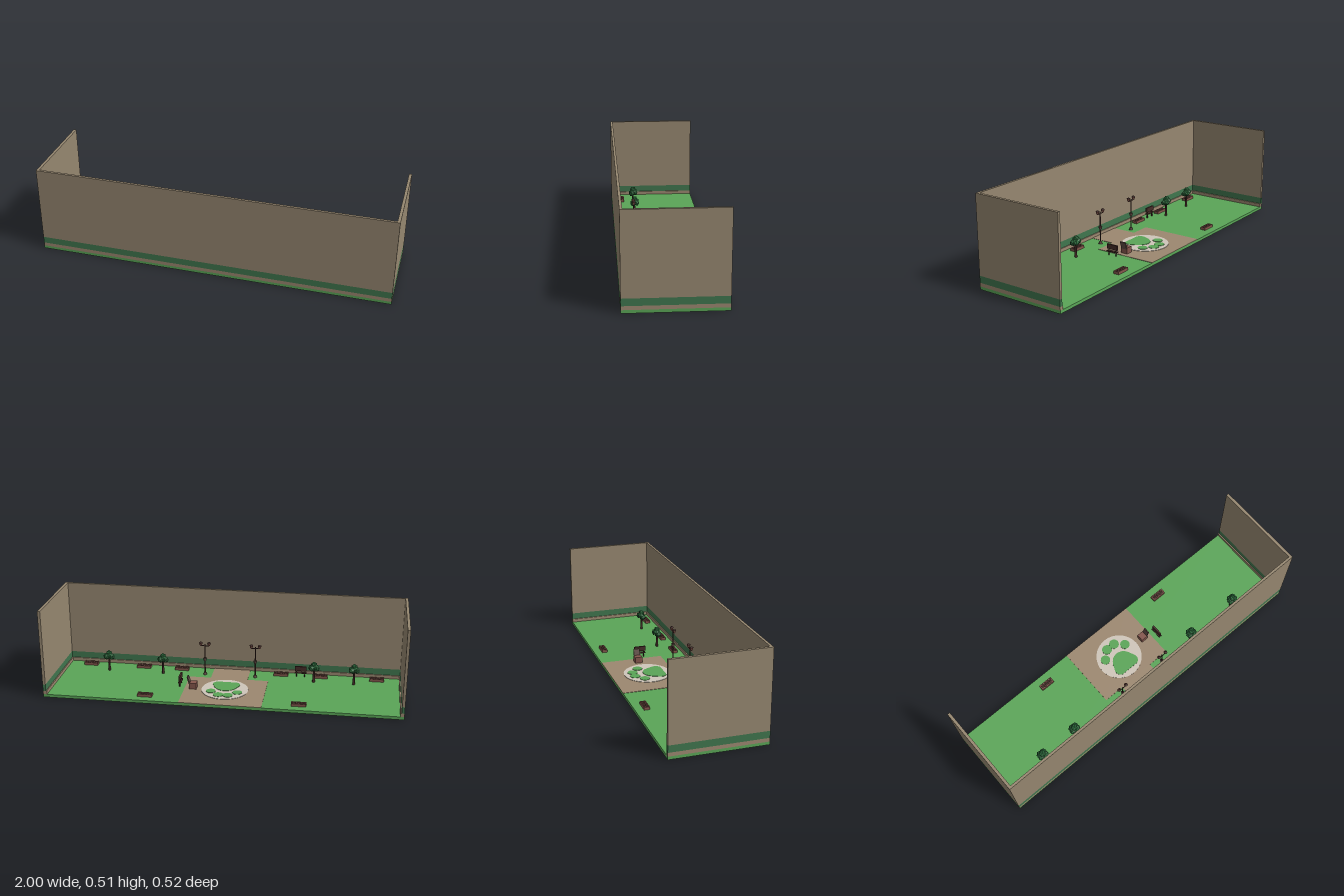
import * as THREE from 'three';

const mat = (name, color, extra = {}) => {
  const m = new THREE.MeshStandardMaterial({ color, ...extra });
  m.name = name;
  return m;
};

export function createModel() {
  const M = {
    grass: mat('grass green', 0x5aa557),
    wall: mat('wall tan', 0x968770),
    path: mat('path tan', 0x9c8870),
    band: mat('band green', 0x40764e),
    stone: mat('pale stone', 0xcfc6ba),
    brick: mat('planter brown', 0x84564c),
    dark: mat('dark wood', 0x462c28),
    leaf: mat('leaf green', 0x2f7040, { flatShading: true }),
    metal: mat('lamp brown', 0x5e4a43),
  };
  const root = new THREE.Group();
  root.name = 'courtyard';
  const FLOOR = 0.017;

  const add = (parent, name, geo, m, x = 0, y = 0, z = 0) => {
    const mesh = new THREE.Mesh(geo, m);
    mesh.name = name;
    mesh.position.set(x, y, z);
    parent.add(mesh);
    return mesh;
  };
  // box given by its footprint centre and bottom
  const box = (p, name, m, w, h, d, x, y, z) =>
    add(p, name, new THREE.BoxGeometry(w, h, d), m, x, y + h / 2, z);
  const cyl = (p, name, m, r1, r2, h, x, y, z, n = 10) =>
    add(p, name, new THREE.CylinderGeometry(r1, r2, h, n), m, x, y + h / 2, z);
  const group = (name, x, z, y = FLOOR) => {
    const g = new THREE.Group();
    g.name = name;
    g.position.set(x, y, z);
    root.add(g);
    return g;
  };

  // Lawn slab
  box(root, 'lawn', M.grass, 2, FLOOR, 0.524, 0, 0, 0);

  // Three walls in stacked colour layers, open at the back
  const layers = [
    ['wallBase', M.path, FLOOR, 0.037, 0.006],
    ['wallBand', M.band, 0.037, 0.075, 0],
    ['wallUpper', M.wall, 0.075, 0.51, 0],
  ];
  for (const [name, m, y0, y1, lip] of layers) {
    const h = y1 - y0;
    box(root, name + 'Front', m, 2, h, 0.014 + lip, 0, y0, 0.255 - lip / 2);
    for (const s of [-1, 1])
      box(root, name + 'Side', m, 0.016 + lip, h, 0.51, s * (0.992 - lip / 2), y0, -0.007);
  }

  // Paved plaza and walkway
  box(root, 'plaza', M.path, 0.46, 0.002, 0.362, 0, FLOOR, -0.081);
  box(root, 'walkway', M.path, 0.215, 0.002, 0.142, -0.002, FLOOR, 0.171);

  // Round medallion with a paw shape
  const paw = group('medallion', 0, -0.055, FLOOR + 0.002);
  cyl(paw, 'medallionDisc', M.stone, 0.133, 0.133, 0.002, 0, 0, 0, 40);
  for (const s of [-1, 1]) {
    cyl(paw, 'outerToe', M.grass, 0.028, 0.028, 0.002, s * 0.075, 0.002, -0.035, 20);
    cyl(paw, 'innerToe', M.grass, 0.029, 0.029, 0.002, s * 0.027, 0.002, -0.078, 20);
  }
  const pad = new THREE.Shape();
  pad.moveTo(-0.058, -0.098);
  pad.lineTo(0.058, -0.098);
  pad.quadraticCurveTo(0.092, -0.075, 0.07, -0.04);
  pad.bezierCurveTo(0.045, 0.045, -0.045, 0.045, -0.07, -0.04);
  pad.quadraticCurveTo(-0.092, -0.075, -0.058, -0.098);
  const padGeo = new THREE.ExtrudeGeometry(pad, { depth: 0.002, bevelEnabled: false, curveSegments: 10 });
  add(paw, 'pawPad', padGeo.rotateX(-Math.PI / 2), M.grass, 0, 0.002, 0);

  // Low planters
  const planters = [[-0.43, -0.2], [0.43, -0.2]];
  for (const x of [0.295, 0.525, 0.85]) planters.push([x, 0.2], [-x, 0.2]);
  for (const [x, z] of planters) {
    const g = group('planter', x, z);
    box(g, 'soil', M.dark, 0.076, 0.012, 0.026, 0, 0, 0);
    for (const s of [-1, 1]) {
      box(g, 'longRim', M.brick, 0.083, 0.016, 0.005, 0, 0, s * 0.0135);
      box(g, 'endRim', M.brick, 0.005, 0.016, 0.032, s * 0.039, 0, 0);
    }
    for (let i = 0; i < 5; i++)
      add(g, 'flower', new THREE.IcosahedronGeometry(0.006, 0), M.brick,
        -0.028 + i * 0.014, 0.015, i % 2 ? 0.005 : -0.005);
  }

  // Small trees with lumpy crowns
  for (const x of [-0.72, -0.49, 0.395, 0.72]) {
    const g = group('tree', x, 0.13);
    cyl(g, 'trunk', M.dark, 0.005, 0.008, 0.075, 0, 0, 0, 7);
    const lumps = [[-0.012, 0.083, 0.004, 0.022], [0.014, 0.086, 0.006, 0.021],
      [0.012, 0.09, -0.012, 0.02], [-0.01, 0.096, -0.008, 0.021], [0, 0.108, 0, 0.02]];
    lumps.forEach(([lx, ly, lz, r], i) => {
      const lump = add(g, 'crown', new THREE.IcosahedronGeometry(r, 0), M.leaf, lx, ly, lz);
      lump.rotation.set(i, i * 2, 0);
      lump.scale.y = 0.85;
    });
  }

  // Twin-headed lamp posts
  for (const x of [-0.148, 0.148]) {
    const g = group('lampPost', x, 0.15);
    cyl(g, 'base', M.metal, 0.007, 0.011, 0.014, 0, 0, 0);
    cyl(g, 'pole', M.dark, 0.003, 0.004, 0.19, 0, 0, 0, 8);
    cyl(g, 'collar', M.metal, 0.011, 0.008, 0.016, 0, 0.088, 0);
    box(g, 'arm', M.dark, 0.05, 0.004, 0.004, 0, 0.178, 0);
    for (const s of [-1, 1]) {
      cyl(g, 'lampHead', M.brick, 0.011, 0.006, 0.016, s * 0.024, 0.182, 0, 8);
      cyl(g, 'lampCap', M.dark, 0.003, 0.011, 0.006, s * 0.024, 0.198, 0, 8);
    }
  }

  // Sign boards on two legs
  for (const [x, z, turn] of [[-0.41, 0.198, 0], [0.262, -0.02, Math.PI / 2]]) {
    const g = group('signBoard', x, z);
    g.rotation.y = turn;
    for (const s of [-1, 1]) box(g, 'leg', M.dark, 0.005, 0.04, 0.006, s * 0.024, 0, 0);
    box(g, 'board', M.dark, 0.068, 0.028, 0.01, 0, 0.036, 0);
    box(g, 'seat', M.dark, 0.068, 0.005, 0.018, 0, 0.022, 0);
  }

  // Seat block with a leaning panel
  const stand = group('standBlock', 0.182, -0.055);
  box(stand, 'block', M.brick, 0.042, 0.035, 0.042, 0, 0.002, 0);
  const back = box(stand, 'leaningPanel', M.metal, 0.007, 0.045, 0.036, 0.024, 0.027, 0);
  back.rotation.z = -0.3;

  return root;
}
